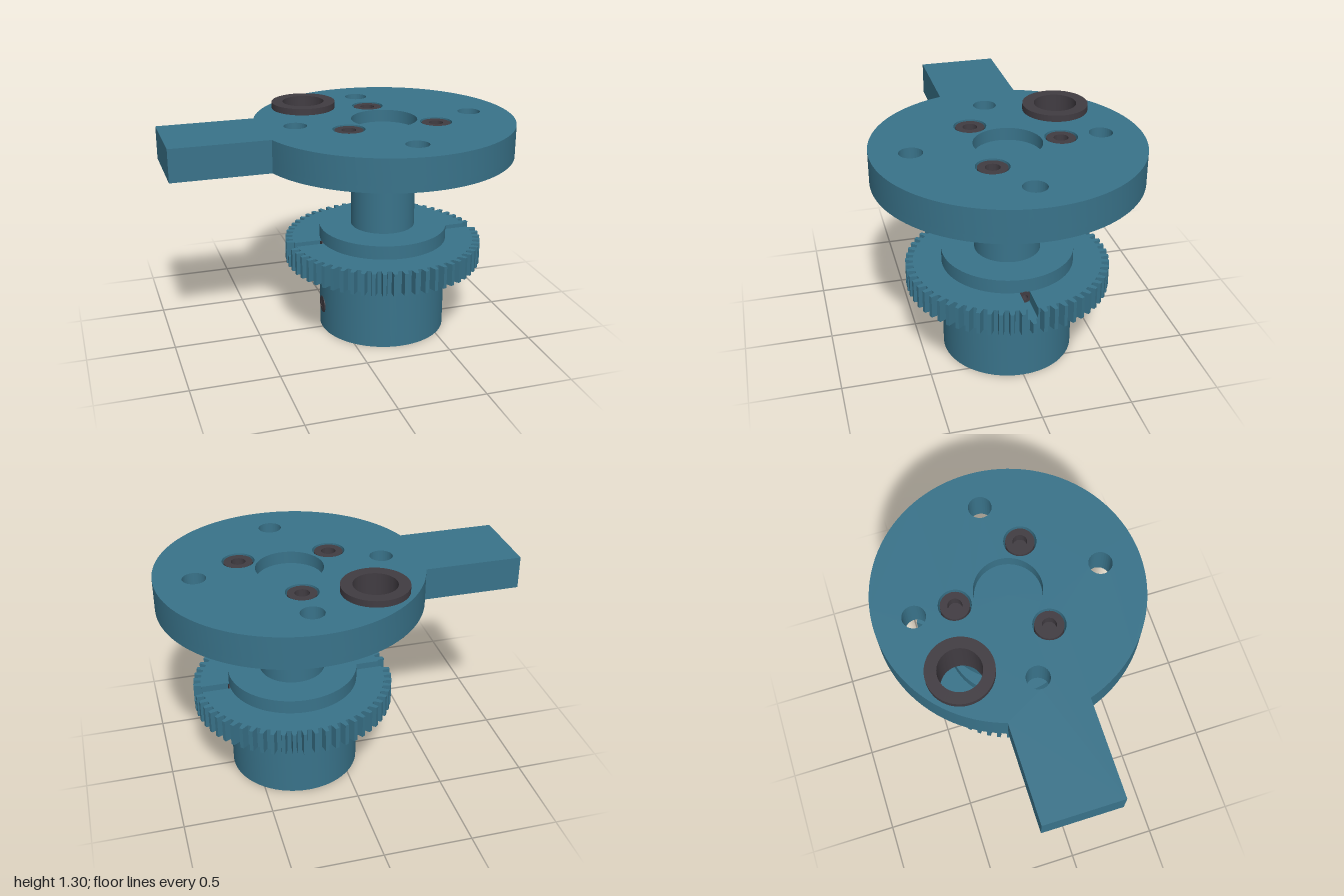
import * as THREE from 'three';
import { toCreasedNormals } from 'three/addons/utils/BufferGeometryUtils.js';

const AXIS_X = 0.257; // main axis of the hub and disc

export function createModel() {
  const model = new THREE.Group();
  const mat = (name, color) => Object.assign(new THREE.MeshStandardMaterial({ color }), { name });
  const teal = mat('tealBody', 0x39738a);
  const dark = mat('darkSteel', 0x413c42);
  const gold = mat('goldMagnet', 0xb5902f);

  const add = (name, geo, material, x = AXIS_X, y = 0, z = 0) => {
    const mesh = new THREE.Mesh(toCreasedNormals(geo, 0.45), material);
    mesh.name = name;
    mesh.position.set(x, y, z);
    model.add(mesh);
    return mesh;
  };
  const lathe = (pts, seg = 72) =>
    new THREE.LatheGeometry(pts.map(([r, y]) => new THREE.Vector2(r, y)), seg);
  const ring = (ri, ro, y0, y1, seg) =>
    lathe([[ri, y1], [ri, y0], [ro, y0], [ro, y1], [ri, y1]], seg);
  // Extrudes a plan shape (shape y = -z) upwards
  const slab = (shape, depth) =>
    new THREE.ExtrudeGeometry(shape, { depth, bevelEnabled: false, curveSegments: 48 }).rotateX(-Math.PI / 2);
  const punch = (shape, x, z, r) => {
    const hole = new THREE.Path();
    hole.absarc(x, -z, r, 0, Math.PI * 2, true);
    shape.holes.push(hole);
  };

  // Disc with a straight arm
  const bushing = [-0.372, -0.375];
  const bolts = [[0, -0.295], [-0.256, 0.147], [0.256, 0.147]];
  const plateShape = () => {
    const a = Math.asin(0.222 / 0.74);
    const s = new THREE.Shape();
    s.moveTo(-1.257, -0.222);
    s.lineTo(-0.74 * Math.cos(a), -0.222);
    s.absarc(0, 0, 0.74, -Math.PI + a, Math.PI - a, false);
    s.lineTo(-1.257, 0.222);
    s.closePath();
    punch(s, 0, 0, 0.187);
    punch(s, ...bushing, 0.15);
    for (const b of bolts) punch(s, ...b, 0.09);
    for (const [x, z] of [[0.52, 0], [-0.52, 0], [0, 0.52], [0, -0.52]]) punch(s, x, z, 0.065);
    return s;
  };
  const lower = plateShape();
  punch(lower, -0.987, 0, 0.11); // blind pocket under the arm
  add('plateUnderside', slab(lower, 0.037), teal, AXIS_X, 1.075);
  add('plate', slab(plateShape(), 0.148), teal, AXIS_X, 1.112);
  add('armMagnet', new THREE.CylinderGeometry(0.109, 0.109, 0.006, 48), gold, AXIS_X - 0.987, 1.109);

  // Flanged bushing, flanges above and below the plate
  add('bushing', lathe([[0.12, 1.297], [0.12, 1.04], [0.185, 1.04], [0.185, 1.075], [0.15, 1.075],
    [0.15, 1.26], [0.185, 1.26], [0.185, 1.297], [0.12, 1.297]]), dark, AXIS_X + bushing[0], 0, bushing[1]);

  // Socket head bolts through the flange
  for (const [x, z] of bolts)
    add('flangeBolt', lathe([[0, 0.945], [0.036, 0.945], [0.036, 1.08], [0.08, 1.08], [0.08, 1.255],
      [0.04, 1.255], [0.04, 1.2], [0, 1.2]], 36), dark, AXIS_X + x, 0, z);

  // Upper hub, shaft and mounting flange
  add('shaftAndFlange', lathe([[0, 0.55], [0.37, 0.55], [0.37, 0.63], [0.185, 0.63], [0.185, 0.93],
    [0.26, 0.93], [0.26, 0.965], [0.405, 0.965], [0.405, 1.075], [0.185, 1.075], [0.185, 1.19], [0, 1.19]]), teal);

  // Lower hub with bore
  add('lowerHub', ring(0.07, 0.37, 0, 0.485), teal);

  // Gear teeth
  const TEETH = 60, ROOT = 0.53, TIP = 0.573, pitch = Math.PI * 2 / TEETH;
  const tooth = (i) => [[-0.3, ROOT], [-0.17, TIP], [0.17, TIP], [0.3, ROOT]].map(([t, r]) =>
    new THREE.Vector2(r * Math.cos((i + t) * pitch), r * Math.sin((i + t) * pitch)));
  const teeth = (from, to) => {
    const pts = [];
    for (let i = from; i <= to; i++) pts.push(...tooth(i));
    return pts;
  };
  const fullGear = new THREE.Shape(teeth(0, TEETH - 1));
  punch(fullGear, 0, 0, 0.36);
  add('gearLower', slab(fullGear, 0.065), teal, AXIS_X, 0.42);

  // Upper gear layer in two halves, split by the cross-drilled slot
  const w = 0.028, bore = 0.07;
  const halfPts = [new THREE.Vector2(Math.sqrt(ROOT * ROOT - w * w), w), ...teeth(1, TEETH / 2 - 1),
    new THREE.Vector2(-Math.sqrt(ROOT * ROOT - w * w), w)];
  const a0 = Math.asin(w / bore);
  for (let i = 0; i <= 12; i++) {
    const a = Math.PI - a0 - (Math.PI - 2 * a0) * i / 12;
    halfPts.push(new THREE.Vector2(bore * Math.cos(a), bore * Math.sin(a)));
  }
  for (const turn of [0, Math.PI])
    add('gearUpperHalf', slab(new THREE.Shape(halfPts), 0.065), teal, AXIS_X, 0.485).rotation.y = turn;

  // Hollow cross screws in the slot
  for (const side of [-1, 1])
    add('crossScrew', ring(0.016, 0.034, 0.1, 0.375, 24), dark, AXIS_X, 0.52).rotation.z = -side * Math.PI / 2;

  // Grub screw in the side of the lower hub
  add('grubScrew', lathe([[0, 0.34], [0.05, 0.34], [0.05, 0.372], [0.025, 0.372], [0.025, 0.3705], [0, 0.3705]], 32),
    dark, AXIS_X, 0.15).rotation.z = Math.PI / 2;

  return model;
}
